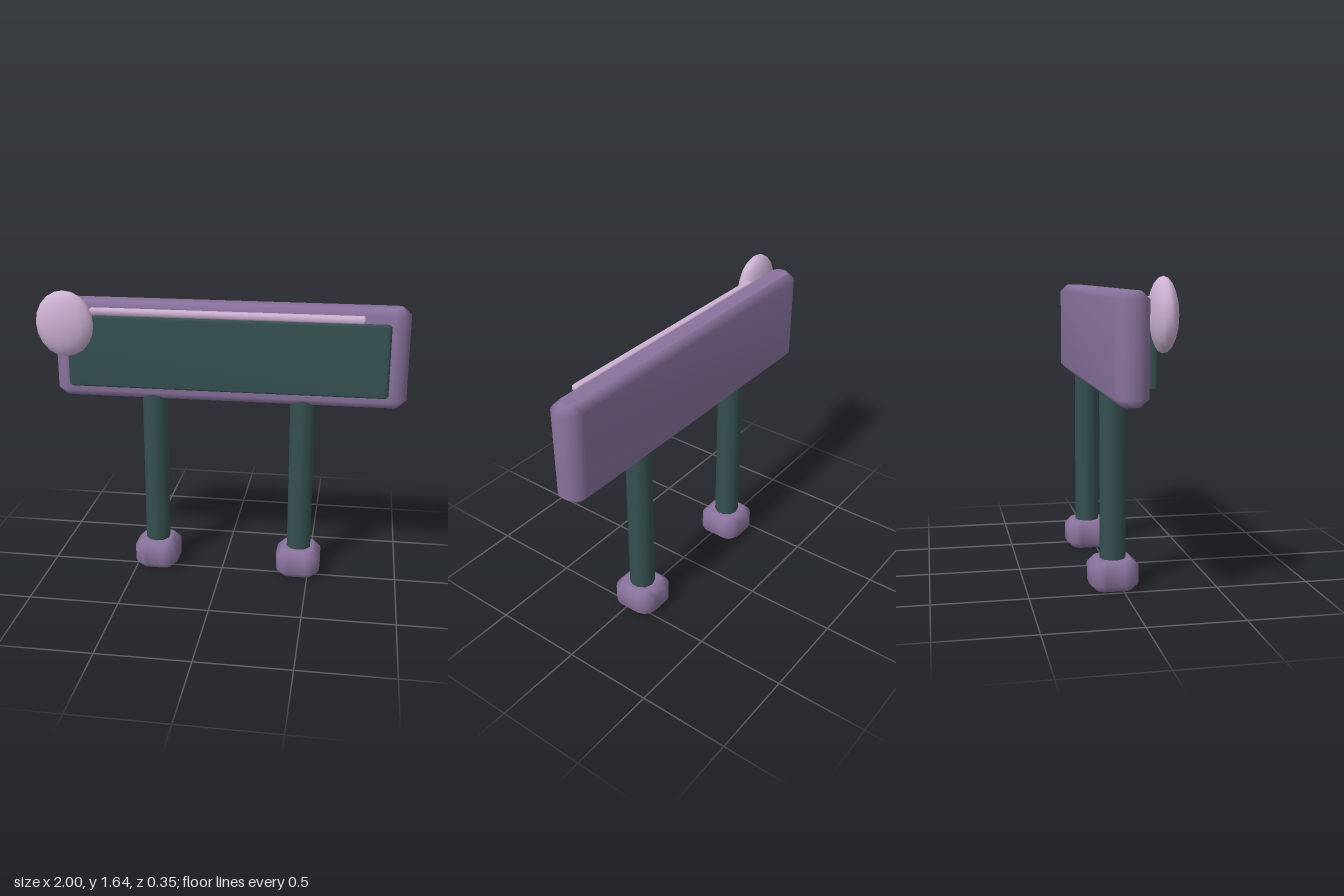
import * as THREE from 'three';
import { mergeVertices } from 'three/addons/utils/BufferGeometryUtils.js';

function material(name, color) {
  const m = new THREE.MeshStandardMaterial({ color });
  m.name = name;
  return m;
}

// Slab with a rounded plan, chamfered at the top and bottom, with smooth normals
function slab([x0, x1], [y0, y1], [z0, z1], radius, bevel, segments) {
  const w = (x1 - x0) / 2, d = (z1 - z0) / 2, r = radius;
  const s = new THREE.Shape();
  s.moveTo(-w + r, -d);
  s.lineTo(w - r, -d);
  s.absarc(w - r, -d + r, r, -Math.PI / 2, 0);
  s.lineTo(w, d - r);
  s.absarc(w - r, d - r, r, 0, Math.PI / 2);
  s.lineTo(-w + r, d);
  s.absarc(-w + r, d - r, r, Math.PI / 2, Math.PI);
  s.lineTo(-w, -d + r);
  s.absarc(-w + r, -d + r, r, Math.PI, Math.PI * 1.5);
  let g = new THREE.ExtrudeGeometry(s, {
    depth: y1 - y0 - 2 * bevel, curveSegments: segments,
    bevelEnabled: true, bevelSegments: 1,
    bevelSize: bevel, bevelThickness: bevel, bevelOffset: -bevel,
  });
  g.rotateX(-Math.PI / 2);
  g.translate((x0 + x1) / 2, y0 + bevel, (z0 + z1) / 2);
  g.deleteAttribute('uv');
  g.deleteAttribute('normal');
  g = mergeVertices(g, 1e-4);
  g.computeVertexNormals();
  return g;
}

export function createModel() {
  const model = new THREE.Group();
  model.name = 'signboard';
  const purple = material('purple', 0x8a739e);
  const green = material('darkGreen', 0x365050);
  const pink = material('palePink', 0xcdb2d3);

  const add = (name, geometry, mat) => {
    const mesh = new THREE.Mesh(geometry, mat);
    mesh.name = name;
    model.add(mesh);
    return mesh;
  };

  // Board, front panel and the trim strip above it
  add('board', slab([-0.935, 1], [1.03, 1.572], [-0.128, 0.042], 0.083, 0.04, 5), purple);
  add('panel', slab([-0.84, 0.9], [1.105, 1.5], [0.042, 0.09], 0.02, 0.012, 3), green);
  add('trimStrip', slab([-0.715, 0.765], [1.503, 1.541], [0.042, 0.088], 0.016, 0.009, 3), pink);

  // Oval ornament at the upper corner
  const oval = add('ovalOrnament', new THREE.SphereGeometry(1, 14, 10), pink);
  oval.scale.set(0.16, 0.18, 0.067);
  oval.position.set(-0.842, 1.459, 0.107);

  // Two posts, each standing on a rounded foot
  for (const [side, x] of [['right', -0.385], ['left', 0.442]]) {
    const post = add(side + 'Post', new THREE.CylinderGeometry(0.07, 0.07, 0.98, 10), green);
    post.position.set(x, 0.61, -0.043);
    add(side + 'Foot', slab([x - 0.125, x + 0.125], [0, 0.163], [-0.173, 0.087], 0.08, 0.036, 3), purple);
  }
  return model;
}
